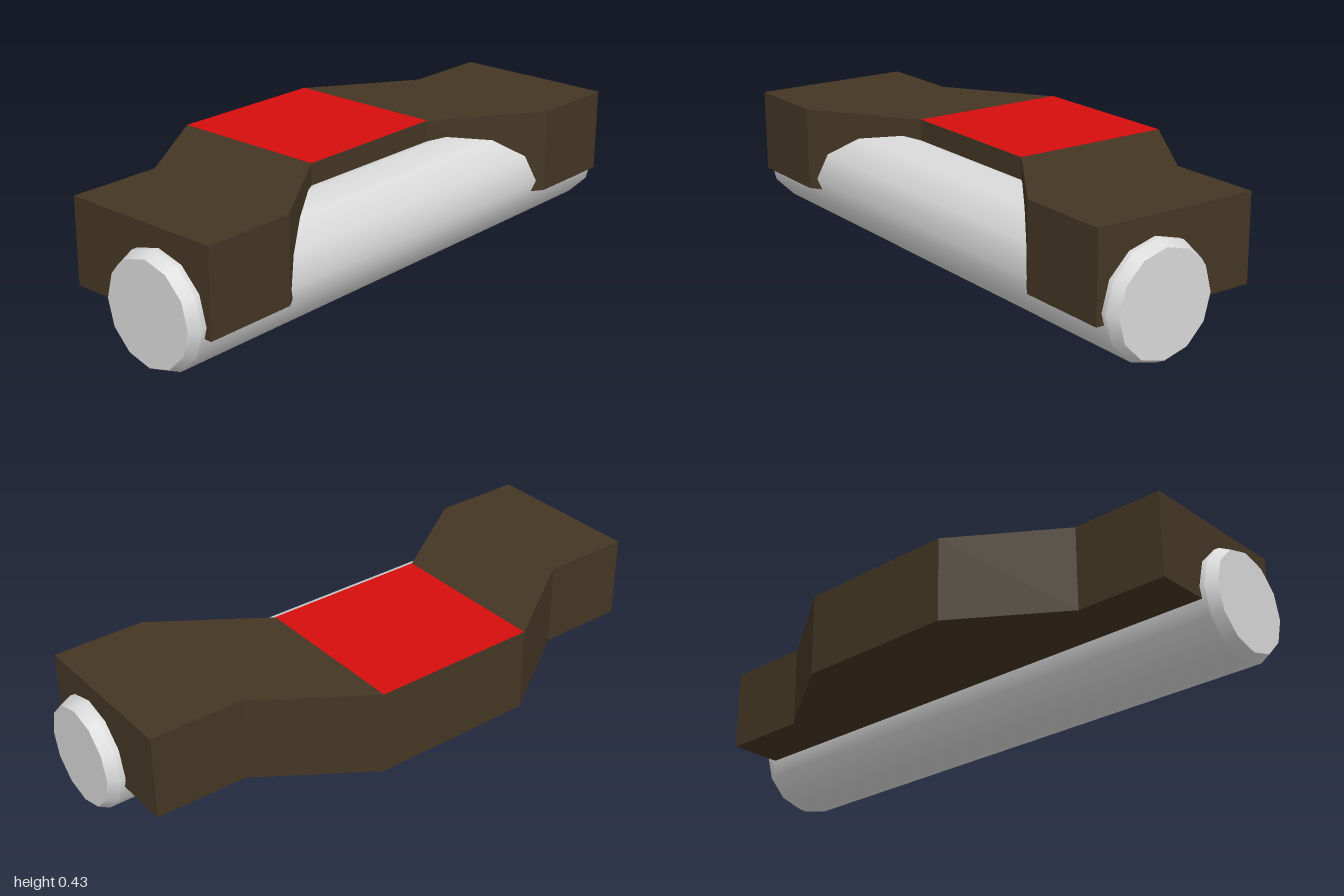
import * as THREE from 'three';

export function createModel() {
  const group = new THREE.Group();
  const mat = (name, color, side = THREE.FrontSide) => {
    const m = new THREE.MeshStandardMaterial({ color, side });
    m.name = name;
    return m;
  };
  const brown = mat('dark brown', 0x443624);
  const red = mat('red', 0xd60c0c);
  const grey = mat('light grey', 0xdadada);
  const add = (name, geometry, material) => {
    const mesh = new THREE.Mesh(geometry, material);
    mesh.name = name;
    group.add(mesh);
    return mesh;
  };

  // Cranked body: half outline mirrored along the length, extruded upwards
  const bottom = 0.15, top = 0.434;
  const inner = [[0.4, 0.947], [0.4, 0.635], [0.16, 0.283]];
  const outer = [[-0.4, 0.283], [-0.165, 0.635], [-0.165, 0.947]];
  const mirror = (pts) => pts.map(([x, z]) => [x, -z]).reverse();
  const outline = [...inner, ...mirror(inner), ...mirror(outer), ...outer];
  const shape = new THREE.Shape(outline.map(([x, z]) => new THREE.Vector2(x, z)));
  const body = new THREE.ExtrudeGeometry(shape, { depth: top - bottom, bevelEnabled: false });
  body.rotateX(-Math.PI / 2);
  body.translate(0, bottom, 0);
  add('body', body, brown);

  // Red panel on the middle of the body
  const panel = new THREE.PlaneGeometry(0.56, 0.566).rotateX(-Math.PI / 2);
  add('topPanel', panel, red).position.set(-0.12, top + 0.001, 0);

  // Twelve-sided rod with bevelled ends
  const R = 0.185, capR = 0.167, sides = 12;
  const rod = new THREE.Group();
  rod.name = 'rod';
  rod.position.set(0.198, 0.187, 0);
  const half = [[capR, 1], [R, 0.965], [R, 0.96]];
  const profile = [...half.map(([r, y]) => [r, -y]), ...half.slice().reverse()];
  const tube = new THREE.LatheGeometry(profile.map(([r, y]) => new THREE.Vector2(r, y)), sides);
  tube.rotateX(Math.PI / 2);
  rod.add(add('rodSide', tube, grey));
  for (const s of [1, -1]) {
    const cap = add(s > 0 ? 'frontCap' : 'backCap', new THREE.CircleGeometry(capR, sides), grey);
    cap.position.z = s;
    if (s < 0) cap.rotation.y = Math.PI;
    rod.add(cap);
  }
  group.add(rod);
  return group;
}
